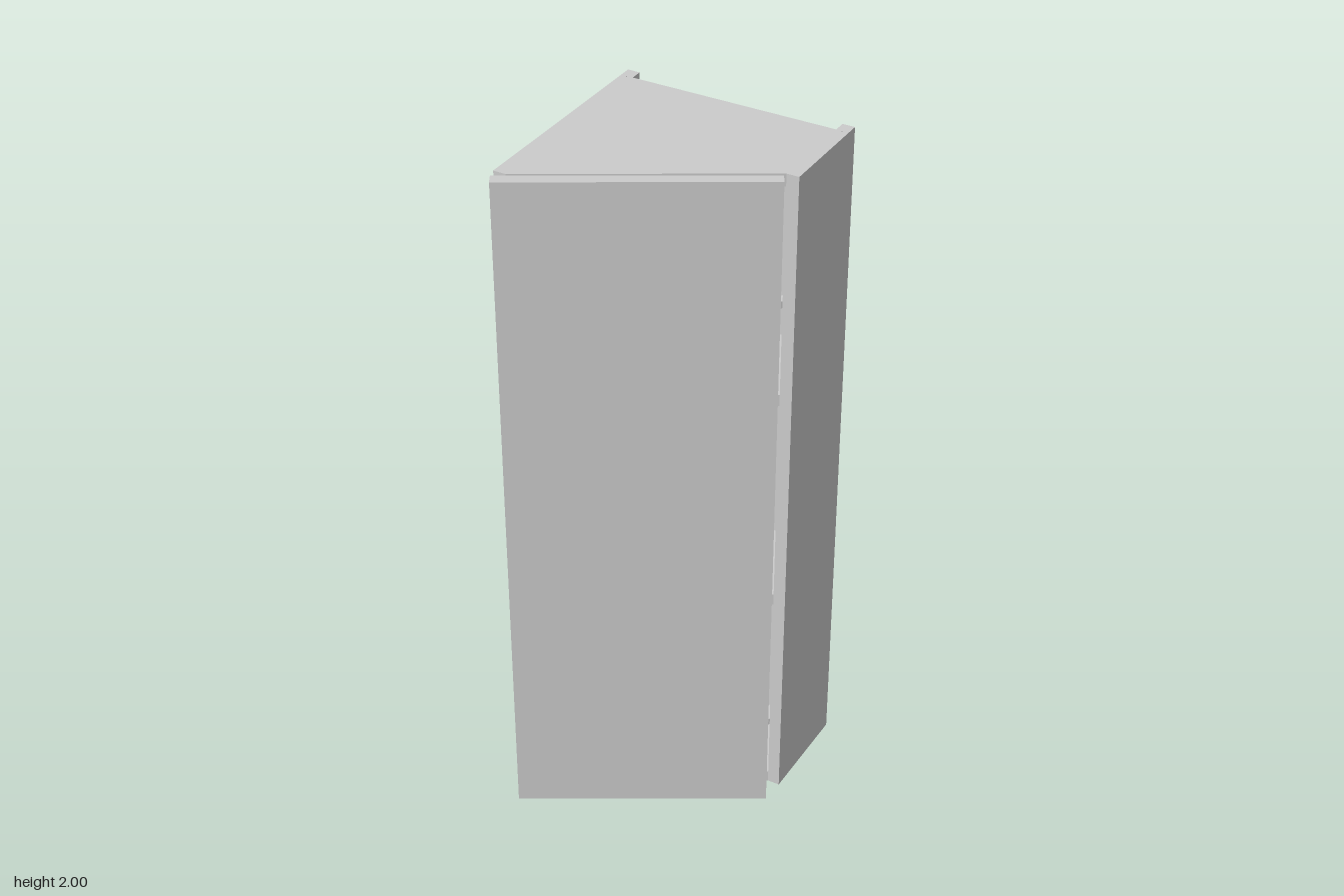
import * as THREE from 'three';

const material = new THREE.MeshStandardMaterial({ color: 0xcccccc });

// Upright prism: plan outline given as [x, z] points, from y0 to y1
function slab(name, outline, y0, y1) {
  const shape = new THREE.Shape(outline.map(([x, z]) => new THREE.Vector2(x, -z)));
  const geometry = new THREE.ExtrudeGeometry(shape, { depth: y1 - y0, bevelEnabled: false });
  geometry.rotateX(-Math.PI / 2);
  geometry.translate(0, y0, 0);
  const mesh = new THREE.Mesh(geometry, material);
  mesh.name = name;
  return mesh;
}

// Plan outline of a board with a slanted front, matching the cabinet opening
const board = (back) => [[-0.295, back], [0.295, back], [0.295, -0.047], [-0.295, 0.293]];

export function createModel() {
  const model = new THREE.Group();
  model.name = 'angledCornerCabinet';
  const base = 0.03, top = 2, thick = 0.035;

  // Side panels, each with a groove that holds the back panel
  const sides = [['rightSidePanel', -1, 0.293], ['leftSidePanel', 1, -0.047]];
  for (const [name, s, front] of sides) {
    const outline = [
      [0.33, -0.35], [0.33, front], [0.295, front], [0.295, -0.309],
      [0.313, -0.309], [0.313, -0.315], [0.295, -0.315], [0.295, -0.35],
    ].map(([x, z]) => [s * x, z]);
    model.add(slab(name, outline, base, top));
  }

  // Horizontal boards: the bottom is flush with the rear, the rest stop at the back panel
  model.add(slab('bottomPanel', board(-0.35), base, base + thick));
  model.add(slab('topPanel', board(-0.309), top - thick, top));
  for (const y of [0.675, 1.325]) model.add(slab('shelf', board(-0.309), y, y + thick));

  // Thin recessed back panel
  model.add(slab('backPanel',
    [[-0.312, -0.315], [0.312, -0.315], [0.312, -0.309], [-0.312, -0.309]], base + thick, top));

  // Slanted door, hanging slightly below the carcass
  model.add(slab('door',
    [[-0.323, 0.318], [0.294, -0.036], [0.311, -0.006], [-0.306, 0.348]], 0, top));

  // Hinges: a plate in the door gap and an arm reaching to the side panel
  for (const y of [0.24, 1.62]) {
    const hinge = new THREE.Group();
    hinge.name = 'hinge';
    hinge.add(slab('hingePlate',
      [[0.209, 0.004], [0.25, -0.02], [0.254, -0.013], [0.213, 0.011]], y - 0.016, y + 0.016));
    hinge.add(slab('hingeArm',
      [[0.235, -0.014], [0.25, -0.02], [0.295, -0.07], [0.295, -0.1], [0.28, -0.1]], y - 0.01, y + 0.01));
    model.add(hinge);
  }
  return model;
}
